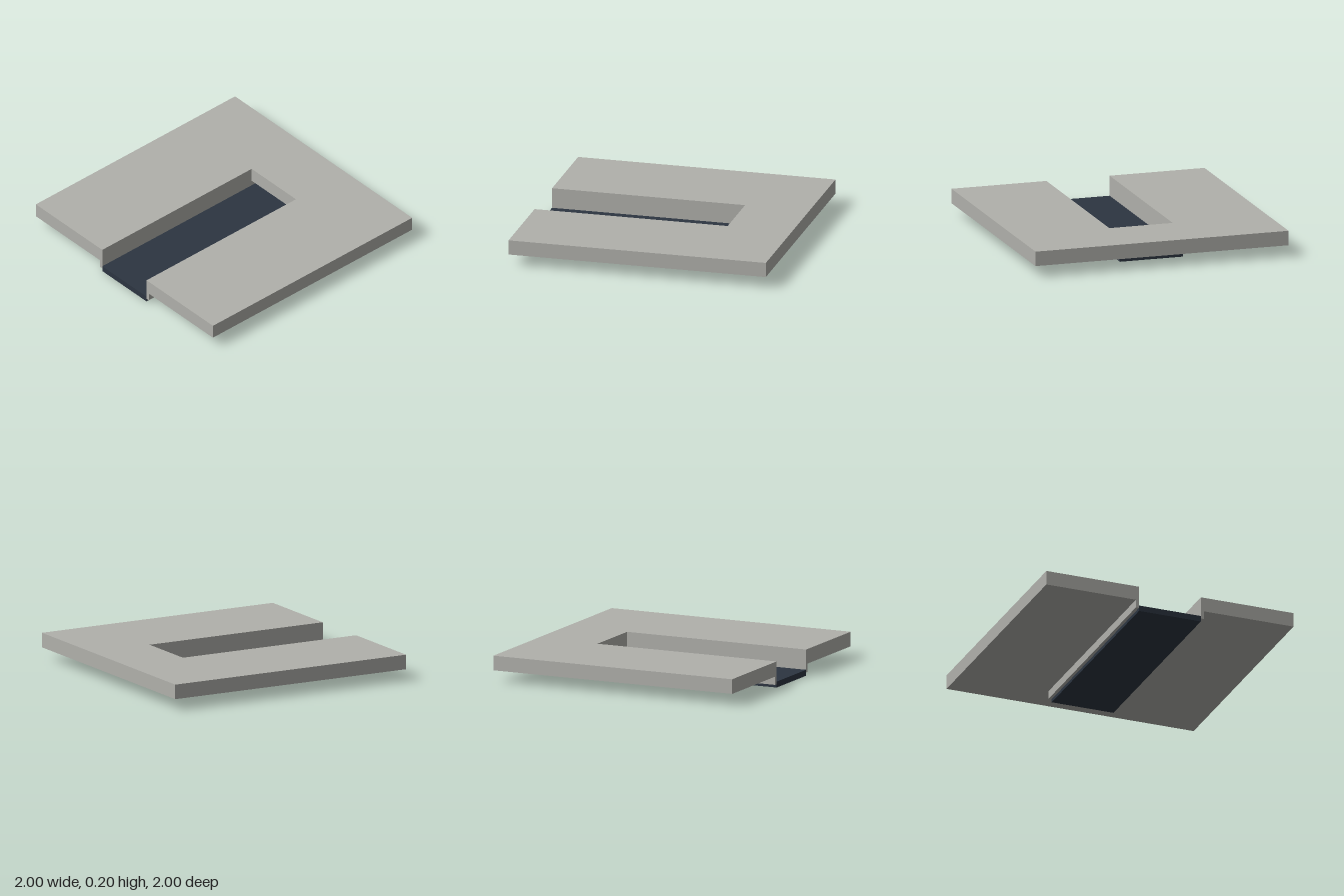
import * as THREE from 'three';

export function createModel() {
  const group = new THREE.Group();
  const concrete = new THREE.MeshStandardMaterial({ name: 'concrete grey', color: 0xb0b0ab });
  const dark = new THREE.MeshStandardMaterial({ name: 'dark slate', color: 0x2c3541 });

  // Box from its minimum and maximum corners
  function block(name, material, [x0, y0, z0], [x1, y1, z1]) {
    const mesh = new THREE.Mesh(new THREE.BoxGeometry(x1 - x0, y1 - y0, z1 - z0), material);
    mesh.position.set((x0 + x1) / 2, (y0 + y1) / 2, (z0 + z1) / 2);
    mesh.name = name;
    group.add(mesh);
  }

  // Side slabs, with a thin trench wall hanging under each inner edge
  block('leftSlab', concrete, [0.25, 0.088, -1], [1, 0.2, 1]);
  block('rightSlab', concrete, [-1, 0.088, -1], [-0.25, 0.2, 1]);
  block('leftTrenchWall', concrete, [0.25, 0.025, -0.75], [0.275, 0.088, 1]);
  block('rightTrenchWall', concrete, [-0.275, 0.025, -0.75], [-0.25, 0.088, 1]);

  // Short slab bridging the back of the trench
  block('backSlab', concrete, [-0.25, 0.088, -1], [0.25, 0.2, -0.5]);

  // Sunken floor, running under the back slab
  block('trenchFloor', dark, [-0.25, 0, -0.75], [0.25, 0.045, 1]);

  return group;
}
